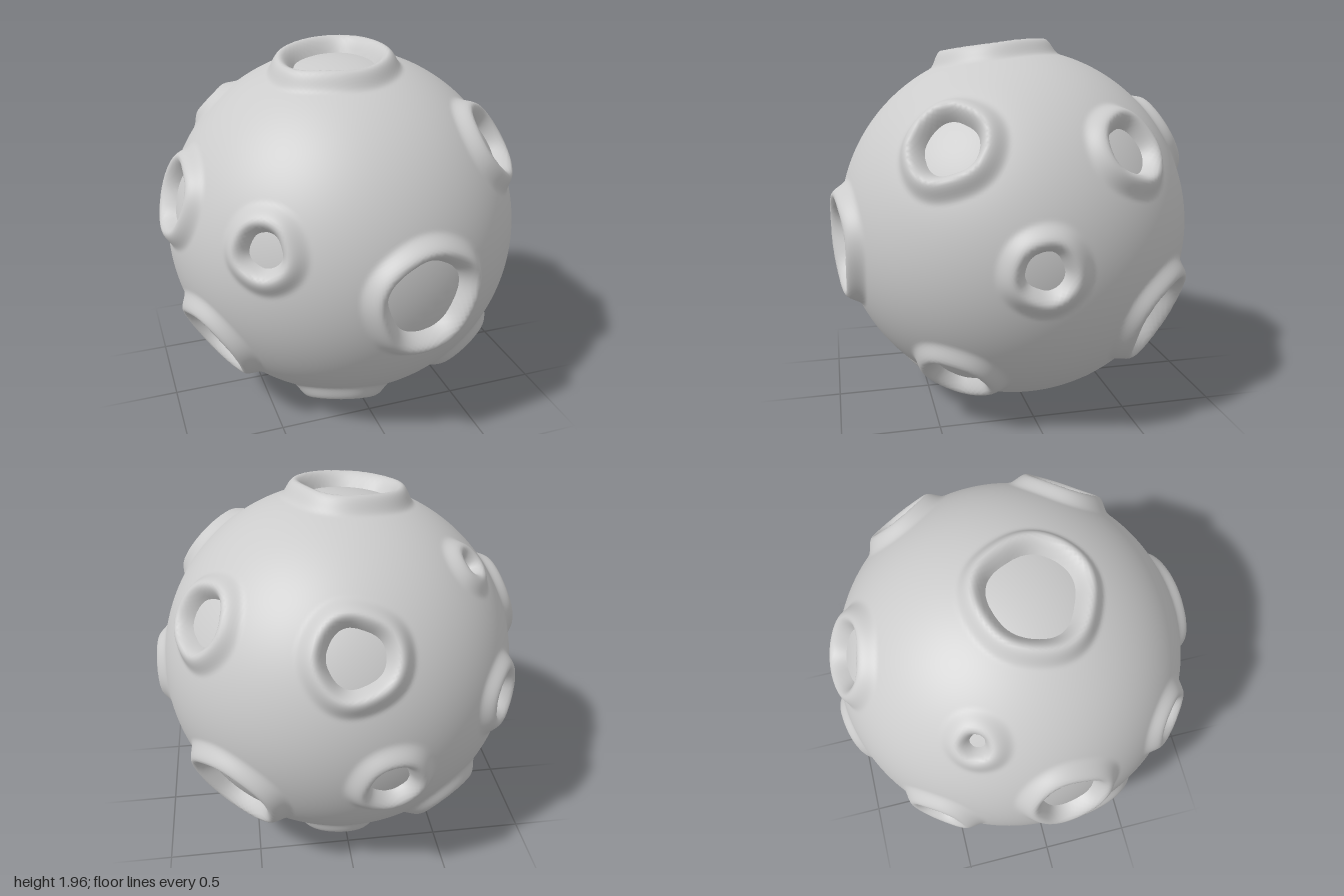
import * as THREE from 'three';
import { mergeVertices } from 'three/addons/utils/BufferGeometryUtils.js';

const RADIUS = 0.95;       // plain surface
const FLOOR_DEPTH = 0.028; // crater floors lie this far below it
const RIM = 0.05;          // from floor edge to rim crest
const SKIRT = 0.095;       // from rim crest out to the plain surface

// Crater direction from the centre (x, y, z) and floor radius
const CRATERS = [
  [0.12, -0.045, 0.94, 0.2],
  [0.65, 0.53, 0.45, 0.142],
  [-0.61, 0.215, 0.70, 0.088],
  [-0.79, -0.45, 0.30, 0.165],
  [-0.14, -0.83, 0.44, 0.13],
  [0.56, -0.645, 0.41, 0.125],
  [0.95, -0.02, 0.06, 0.095],
  [-0.07, 0.94, 0.10, 0.215],
  [-0.91, 0.29, 0.09, 0.14],
  [-0.62, 0.655, -0.31, 0.038],
  [0.71, 0.50, -0.42, 0.122],
  [0.61, -0.39, -0.62, 0.19],
  [0.02, 0.48, -0.83, 0.142],
  [-0.15, -0.18, -0.93, 0.1],
  [-0.78, 0.03, -0.56, 0.095],
  [-0.51, -0.59, -0.55, 0.12],
  [0.05, -0.86, -0.41, 0.11],
].map(([x, y, z, r], i) => {
  const dir = new THREE.Vector3(x, y, z).normalize();
  const helper = Math.abs(dir.y) > 0.8 ? new THREE.Vector3(1, 0, 0) : new THREE.Vector3(0, 1, 0);
  const u = helper.cross(dir).normalize();
  const v = dir.clone().cross(u);
  return { dir, u, v, r, phase: i * 1.7, height: 0.03 + 0.15 * r };
});

// Height change at a surface direction: a rounded rim that drops steeply inside
function craterOffset(p, { dir, u, v, r, phase, height }) {
  const d = p.angleTo(dir) * RADIUS;
  if (d > r * 1.1 + RIM + SKIRT) return 0;
  const a = Math.atan2(p.dot(v), p.dot(u));
  const edge = r * (1 + 0.035 * Math.sin(3 * a + phase) + 0.02 * Math.sin(5 * a - phase));
  const t = d - edge;
  if (t < RIM) {
    const s = 1 - t / RIM;
    return Math.max(height - (height + FLOOR_DEPTH) * s * s, -0.08);
  }
  return height * (1 - THREE.MathUtils.smoothstep(t, RIM, RIM + SKIRT));
}

function crateredGeometry() {
  let geo = new THREE.IcosahedronGeometry(1, 72);
  geo.deleteAttribute('uv');
  geo.deleteAttribute('normal');
  geo = mergeVertices(geo, 1e-4);
  const pos = geo.attributes.position;
  const p = new THREE.Vector3();
  for (let i = 0; i < pos.count; i++) {
    p.fromBufferAttribute(pos, i).normalize();
    let h = RADIUS;
    for (const c of CRATERS) h += craterOffset(p, c);
    p.multiplyScalar(h);
    pos.setXYZ(i, p.x, p.y, p.z);
  }
  geo.computeVertexNormals();
  return geo;
}

export function createModel() {
  const group = new THREE.Group();
  group.name = 'crateredMoon';
  const material = new THREE.MeshStandardMaterial({ color: 0xcccccc });

  // Outer surface with raised crater rims
  const surface = new THREE.Mesh(crateredGeometry(), material);
  surface.name = 'crateredSurface';

  // Inner ball that shows as the crater floors
  const floors = new THREE.Mesh(new THREE.SphereGeometry(RADIUS - FLOOR_DEPTH, 96, 64), material);
  floors.name = 'craterFloors';

  group.add(surface, floors);
  for (const part of group.children) part.position.set(-0.003, 0.952, 0);
  return group;
}
